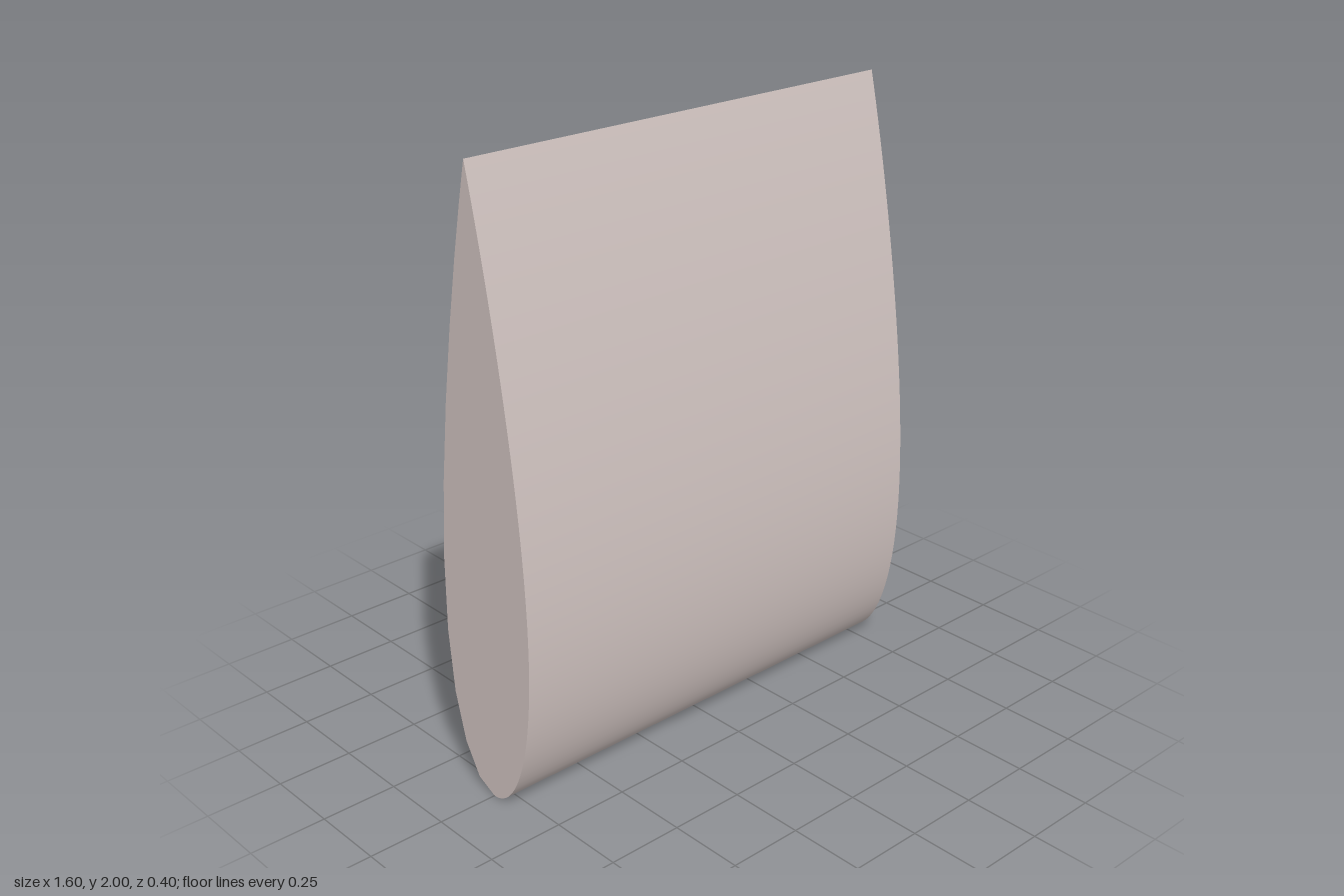
import * as THREE from 'three';
import { toCreasedNormals } from 'three/addons/utils/BufferGeometryUtils.js';

const CHORD = 2, SPAN = 1.6;

// Half thickness of a symmetric 20% aerofoil, t = 0 at the nose, 1 at the tail
function halfThickness(t) {
  return CHORD * (0.2969 * Math.sqrt(t) - 0.126 * t - 0.3516 * t ** 2 + 0.2843 * t ** 3 - 0.1036 * t ** 4);
}

// One side of the section from nose to tail, points bunched towards both ends
function sidePoints(side, steps) {
  const points = [];
  for (let i = 0; i <= steps; i++) {
    const t = (1 - Math.cos(Math.PI * i / steps)) / 2;
    const half = i === 0 || i === steps ? 0 : halfThickness(t);
    points.push(new THREE.Vector2(side * half, t * CHORD));
  }
  return points;
}

export function createModel() {
  const group = new THREE.Group();
  group.name = 'wingSection';

  // Back skin up from the nose, then front skin down from the tail
  const back = sidePoints(1, 12);
  const front = sidePoints(-1, 48).reverse().slice(1, -1);
  const section = new THREE.Shape([...back, ...front]);

  // Extrude along the span and turn it onto the x axis
  let geometry = new THREE.ExtrudeGeometry(section, { depth: SPAN, bevelEnabled: false });
  geometry.translate(0, 0, -SPAN / 2);
  geometry.rotateY(Math.PI / 2);
  geometry = toCreasedNormals(geometry, THREE.MathUtils.degToRad(50));

  const wing = new THREE.Mesh(geometry, new THREE.MeshStandardMaterial({ color: 0xd1c4c1 }));
  wing.name = 'aerofoilBody';
  group.add(wing);
  return group;
}
